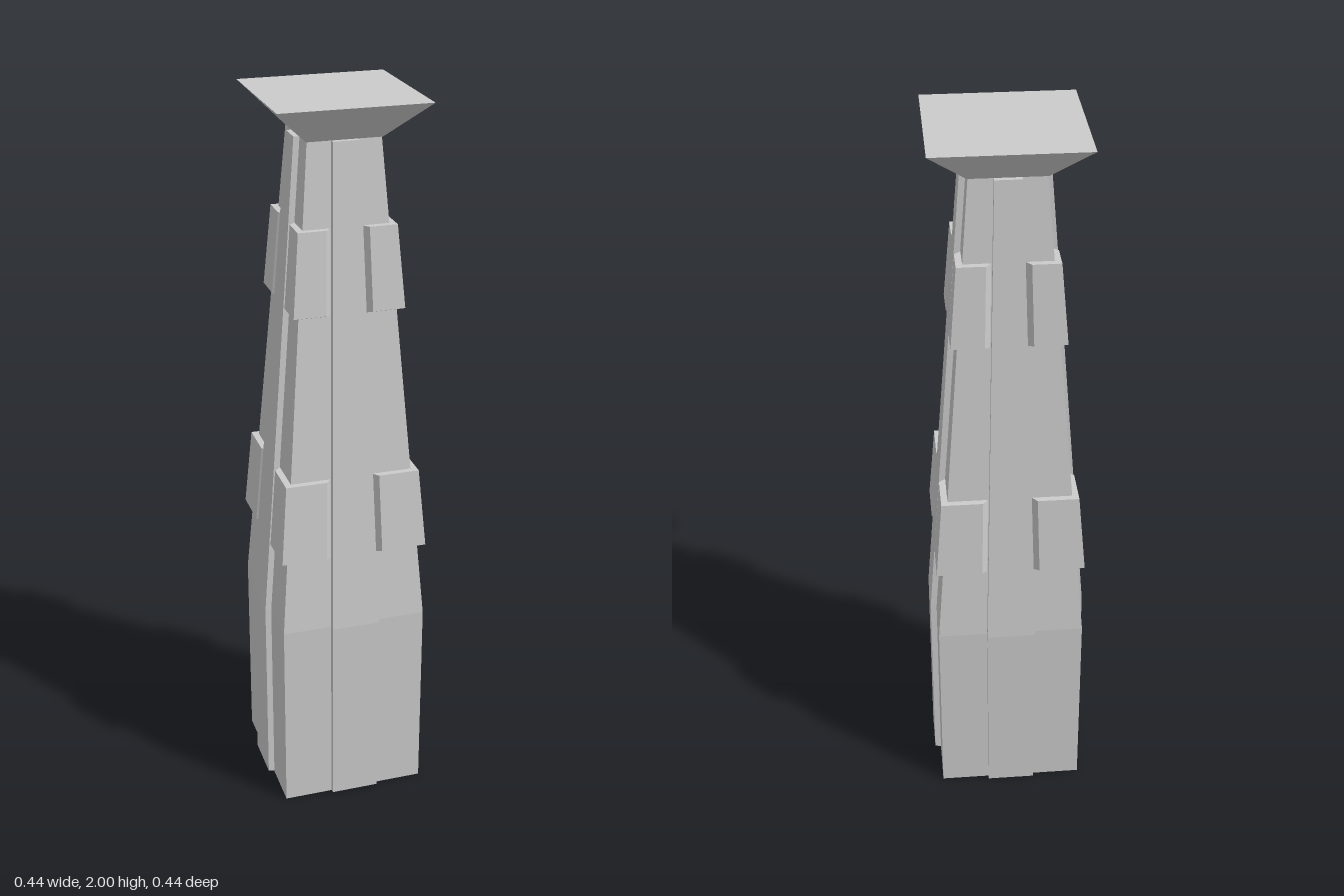
import * as THREE from 'three';

const BEND = 0.56, TOP = 1.9;

// Straight to the bend, then an even taper to the top
const taper = (y, low, high) =>
  y <= BEND ? low : low + (high - low) * (y - BEND) / (TOP - BEND);
const wallHalf = y => taper(y, 0.203, 0.098);
const ribFace = y => taper(y, 0.22, 0.114);
const ribHalf = y => taper(y, 0.067, 0.035);

// Closed solid through rings of [x, y, z], counterclockwise seen from above
function loft(rings) {
  const pos = [];
  const tri = (a, b, c) => pos.push(...a, ...b, ...c);
  const n = rings[0].length;
  for (let r = 0; r < rings.length - 1; r++) {
    const lo = rings[r], hi = rings[r + 1];
    for (let i = 0; i < n; i++) {
      const j = (i + 1) % n;
      tri(lo[i], lo[j], hi[j]);
      tri(lo[i], hi[j], hi[i]);
    }
  }
  const bottom = rings[0], top = rings[rings.length - 1];
  for (let i = 1; i < n - 1; i++) {
    tri(bottom[0], bottom[i + 1], bottom[i]);
    tri(top[0], top[i], top[i + 1]);
  }
  const g = new THREE.BufferGeometry();
  g.setAttribute('position', new THREE.Float32BufferAttribute(pos, 3));
  g.computeVertexNormals();
  return g;
}

const square = (h, y) => [[h, y, h], [h, y, -h], [-h, y, -h], [-h, y, h]];

// Rib section on the +z wall; lip raises the outer edge
function ribRing(y, lip = 0) {
  const w = ribHalf(y), f = ribFace(y), b = wallHalf(y) * 0.85;
  return [[w, y + lip, f], [w, y, b], [-w, y, b], [-w, y + lip, f]];
}

// L-shaped section wrapping the +x +z corner, with bevelled inner ends
function cornerRing(y, lip = 0) {
  const o = ribFace(y) + 0.001, i = wallHalf(y) - 0.002;
  const root = ribHalf(y) + 0.001, end = root + 0.016, l = y + lip;
  return [[i, y, i], [root, y, i], [end, l, o], [o, l, o], [o, l, end], [i, y, root]];
}

export function createModel() {
  const model = new THREE.Group();
  const mat = new THREE.MeshStandardMaterial({ color: 0xcccccc, flatShading: true });
  const add = (name, geo, turn = 0) => {
    const m = new THREE.Mesh(geo, mat);
    m.name = name;
    m.rotation.y = turn * Math.PI / 2;
    model.add(m);
  };

  // Tapered shaft
  add('shaft', loft([0, BEND, TOP].map(y => square(wallHalf(y), y))));

  // Flared cap
  add('cap', loft([square(0.1, TOP), square(0.2, 2)]));

  // Central ribs and two tiers of corner blocks
  const rib = loft([ribRing(0, 0.005), ribRing(BEND), ribRing(TOP)]);
  const lower = loft([cornerRing(0.77, 0.008), cornerRing(1.0)]);
  const upper = loft([cornerRing(1.45, 0.008), cornerRing(1.68)]);
  for (let k = 0; k < 4; k++) {
    add('rib', rib, k);
    add('lowerCornerBlock', lower, k);
    add('upperCornerBlock', upper, k);
  }
  return model;
}
